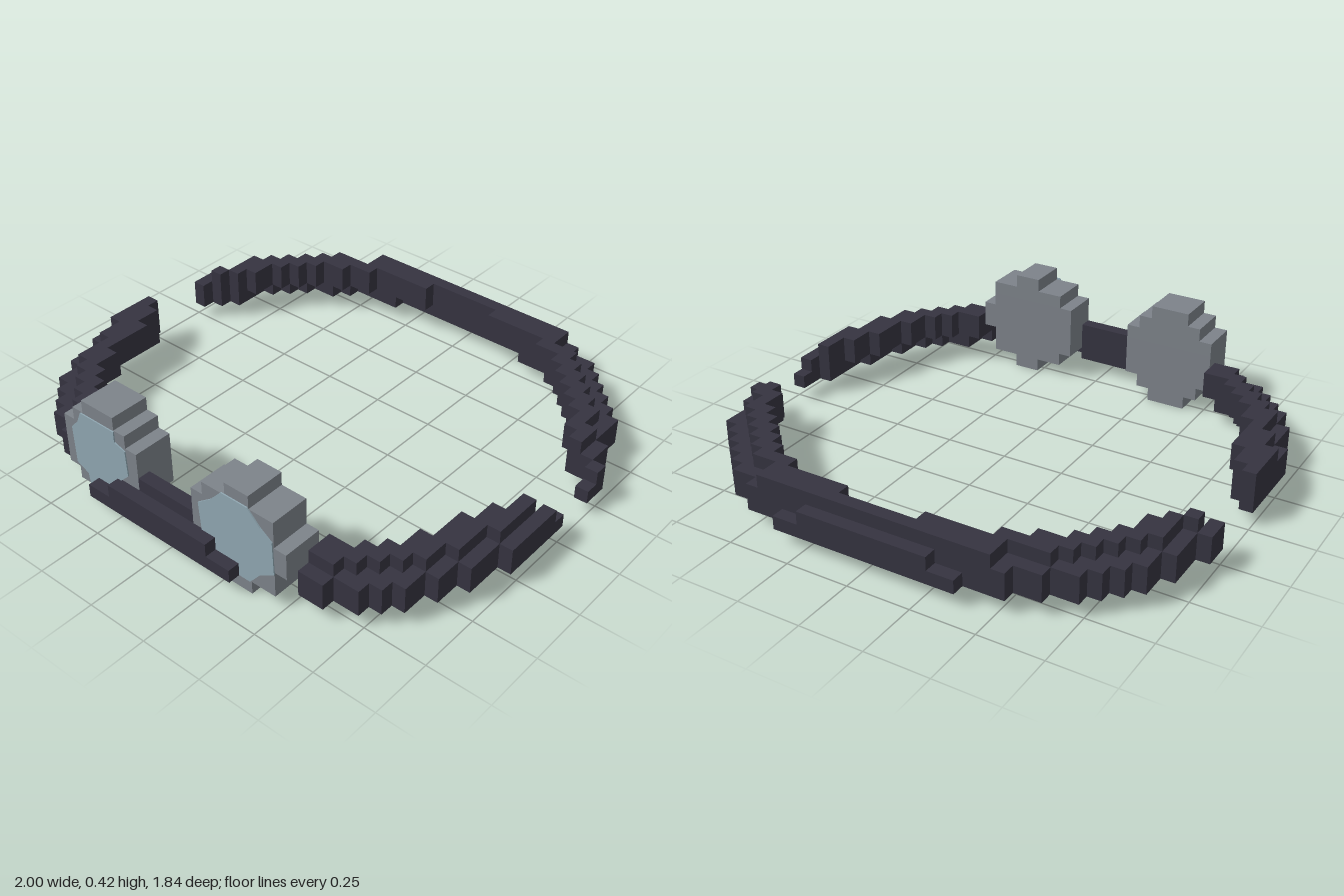
import * as THREE from 'three';
import { mergeGeometries } from 'three/addons/utils/BufferGeometryUtils.js';

const V = 2 / 38;            // edge of one cube
const Z0 = -17.5 * V;        // back edge of the cube grid
const STRAP_BASE = 0.055;

// Block covering grid columns a..b and rows k..k2, between two heights
function block(a, b, k, k2, y0, y1) {
  const g = new THREE.BoxGeometry((b - a) * V, y1 - y0, (k2 - k) * V);
  g.translate(-1 + (a + b) / 2 * V, (y0 + y1) / 2, Z0 + (k + k2) / 2 * V);
  return g;
}

// One run of strap cubes in a layer (1 = bottom, 3 = top)
function strapRun(list, layer, k, a, b) {
  if (b <= a) return;
  const y = STRAP_BASE + (layer - 1) * V;
  list.push(block(a, b, k, k + 1, y, y + V));
}

// Stepped side bands: each row is [left start, left end, right start, right end]
function sideBand(list, startRow, rows) {
  rows.forEach(([la, lb, ra, rb], n) => {
    const k = startRow + n;
    for (const [a, b, isRight] of [[la, lb, false], [ra, rb, true]]) {
      const len = b - a;
      if (len === 0) continue;
      for (let layer = 1; layer <= 3; layer++) {
        if (layer > 1 && (k === 13 || k === 17)) continue;   // tapered tips
        if (layer === 3 && k === 32) continue;
        let outer = layer === 3 ? Math.ceil(len / 3) : 0;
        const inner = layer === 1 ? Math.floor(len / 3) : 0;
        if (!isRight && k > 17 && k < 22) outer = 0;         // blunt front tip
        if (isRight) strapRun(list, layer, k, a + inner, b - outer);
        else strapRun(list, layer, k, a + outer, b - inner);
      }
    }
  });
}

const BACK_ROWS = [
  [7, 16, 22, 31], [5, 11, 27, 32], [4, 9, 29, 33], [3, 7, 30, 34],
  [2, 6, 31, 35], [2, 5, 32, 36], [1, 4, 33, 36], [1, 4, 34, 36],
  [1, 3, 34, 37], [0, 2, 35, 37], [0, 1, 37, 38], [0, 0, 37, 38],
];
const FRONT_ROWS = [
  [0, 0, 37, 38], [0, 1, 37, 38], [0, 2, 36, 38], [0, 2, 36, 38],
  [0, 3, 35, 38], [0, 3, 35, 38], [0, 3, 34, 37], [1, 3, 34, 37],
  [1, 4, 34, 37], [1, 4, 33, 36], [2, 5, 33, 36], [2, 6, 32, 35],
  [3, 7, 31, 35], [4, 9, 29, 34], [5, 9, 29, 33], [7, 9, 29, 31],
];

// Rim columns from the bottom row of cubes to the top
const RIMS = [
  { name: 'rightEye', rows: [[11, 14], [10, 15], [9, 16], [9, 16], [9, 16], [9, 16], [10, 15], [11, 14]],
    lens: [[-.43, .365], [-.26, .365], [-.26, .32], [-.21, .305], [-.205, .2], [-.26, .145],
      [-.265, .055], [-.42, .055], [-.425, .1], [-.48, .125], [-.485, .28], [-.45, .32]] },
  { name: 'leftEye', rows: [[24, 26], [22, 28], [21, 28], [21, 29], [21, 29], [21, 28], [22, 28], [24, 26]],
    lens: [[.25, .375], [.365, .375], [.42, .32], [.47, .285], [.475, .15], [.41, .11],
      [.365, .055], [.25, .055], [.2, .12], [.15, .15], [.14, .275], [.2, .32]] },
];

export function createModel() {
  const model = new THREE.Group();
  const mat = (name, color) => {
    const m = new THREE.MeshStandardMaterial({ color });
    m.name = name;
    return m;
  };
  const dark = mat('darkStrap', 0x353340);
  const grey = mat('greyRim', 0x7d838a);
  const blue = mat('paleBlueLens', 0x90a7b2);
  const add = (name, geometry, material) => {
    const mesh = new THREE.Mesh(geometry, material);
    mesh.name = name;
    model.add(mesh);
  };

  // Rear strap
  const back = [];
  strapRun(back, 1, 0, 12, 26);
  strapRun(back, 2, 0, 14, 24);
  strapRun(back, 1, 1, 9, 29);
  strapRun(back, 2, 1, 9, 29);
  strapRun(back, 3, 1, 10, 28);
  sideBand(back, 2, BACK_ROWS);
  add('rearStrap', mergeGeometries(back), dark);

  // Front strap with the bar across the eyes
  const front = [];
  sideBand(front, 17, FRONT_ROWS);
  for (const layer of [1, 2, 3]) strapRun(front, layer, 33, 16, 21);
  strapRun(front, 1, 34, 12, 25);
  strapRun(front, 2, 34, 14, 23);
  add('frontStrap', mergeGeometries(front), dark);

  // Eyepieces: stepped rims with thin lens plates
  for (const { name, rows, lens } of RIMS) {
    const rim = rows.map(([a, b], j) => block(a, b, 31, 34, j * V, (j + 1) * V));
    add(name + 'Rim', mergeGeometries(rim), grey);
    const shape = new THREE.Shape(lens.map(([x, y]) => new THREE.Vector2(x, y)));
    const plate = new THREE.ExtrudeGeometry(shape, { depth: 0.005, bevelEnabled: false });
    plate.translate(0, 0, Z0 + 34 * V);
    add(name + 'Lens', plate, blue);
  }
  return model;
}
